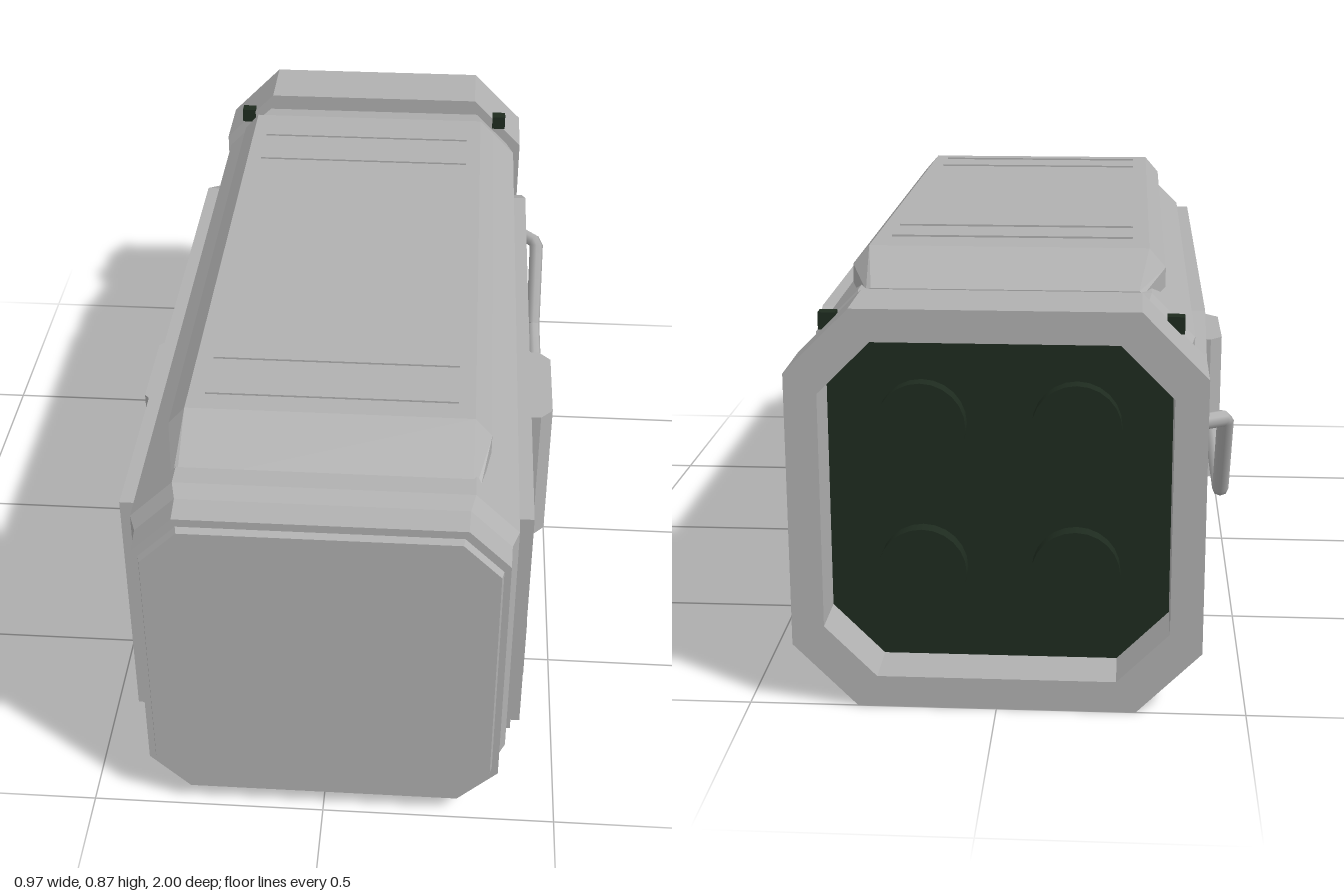
import * as THREE from 'three';

const grey = new THREE.MeshStandardMaterial({ color: 0xb0b0b0 });
grey.name = 'hull grey';
const dark = new THREE.MeshStandardMaterial({ color: 0x1e2b1f });
dark.name = 'dark green';

function add(parent, name, geometry, material = grey) {
  const mesh = new THREE.Mesh(geometry, material);
  mesh.name = name;
  parent.add(mesh);
  return mesh;
}

function box(parent, name, size, pos, material = grey) {
  const mesh = add(parent, name, new THREE.BoxGeometry(...size), material);
  mesh.position.set(...pos);
  return mesh;
}

// Octagon with cut corners, counter-clockwise seen from the front
function octagon(w, y0, y1, c) {
  return [[w, y0 + c], [w, y1 - c], [w - c, y1], [c - w, y1],
    [-w, y1 - c], [-w, y0 + c], [c - w, y0], [w - c, y0]];
}

// Faceted solid through convex sections ordered back to front; points are [x, y, optional z]
function loft(sections) {
  const v = [];
  const n = sections[0].pts.length;
  const at = (s, j) => {
    const p = s.pts[j % n];
    return [p[0], p[1], p[2] ?? s.z];
  };
  for (let i = 0; i < sections.length - 1; i++) {
    const a = sections[i], b = sections[i + 1];
    for (let j = 0; j < n; j++) {
      v.push(...at(a, j), ...at(a, j + 1), ...at(b, j + 1));
      v.push(...at(a, j), ...at(b, j + 1), ...at(b, j));
    }
  }
  const first = sections[0], last = sections[sections.length - 1];
  for (let j = 1; j < n - 1; j++) {
    v.push(...at(first, 0), ...at(first, j + 1), ...at(first, j));
    v.push(...at(last, 0), ...at(last, j), ...at(last, j + 1));
  }
  const g = new THREE.BufferGeometry();
  g.setAttribute('position', new THREE.Float32BufferAttribute(v, 3));
  g.computeVertexNormals();
  return g;
}

const shape = (pts) => new THREE.Shape(pts.map(([x, y]) => new THREE.Vector2(x, y)));

function prism(outline, depth) {
  return new THREE.ExtrudeGeometry(outline, { depth, bevelEnabled: false });
}

// Hood section: flat top, sloping shoulders, upright sides
function hoodSection(z, wTop, top, w, shoulder, bottom) {
  return { z, pts: [[w, bottom], [w, shoulder], [wTop, top], [-wTop, top], [-w, shoulder], [-w, bottom]] };
}

function buildSide(s) {
  const side = new THREE.Group();
  side.name = s > 0 ? 'leftSide' : 'rightSide';

  // Raised panel with one cut corner, drawn as (-z, y)
  const panel = prism(shape([[-0.845, 0.145], [0.69, 0.145], [0.69, 0.61], [0.49, 0.71], [-0.845, 0.71]]), 0.04);
  panel.rotateY(Math.PI / 2);
  panel.translate(s * 0.4 - 0.02, 0, 0);
  add(side, 'sidePanel', panel);

  // Upright box with bevelled outer edges, drawn as (x, -z)
  const housing = prism(shape([[0.4, -0.245], [0.457, -0.245], [0.485, -0.215],
    [0.485, 0], [0.457, 0.03], [0.4, 0.03]].map(([x, y]) => [s * x, y])), 0.355);
  housing.rotateX(-Math.PI / 2);
  housing.translate(0, 0.175, 0);
  add(side, 'handleHousing', housing);

  // Bent handle
  const path = new THREE.CurvePath();
  const pts = [[0.464, 0.305, 0], [0.464, 0.305, -0.5], [0.464, 0.505, -0.615], [0.41, 0.51, -0.665]]
    .map(([x, y, z]) => new THREE.Vector3(s * x, y, z));
  for (let i = 0; i < 3; i++) path.add(new THREE.LineCurve3(pts[i], pts[i + 1]));
  add(side, 'handle', new THREE.TubeGeometry(path, 60, 0.018, 8));

  // Vent with upright slats
  box(side, 'ventBack', [0.008, 0.17, 0.375], [s * 0.42, 0.26, 0.567], dark);
  for (let i = 0; i < 6; i++) {
    box(side, 'ventSlat', [0.012, 0.148, 0.021], [s * 0.422, 0.258, 0.726 - i * 0.063]);
  }

  // Pegs along the lower edge
  for (let i = 0; i < 5; i++) {
    const peg = prism(shape([[0.34, 0.08], [0.403, 0.08], [0.403, 0.12], [0.388, 0.132], [0.34, 0.132]]
      .map(([x, y]) => [s * x, y])), 0.045);
    peg.translate(0, 0, 0.762 - i * 0.288);
    add(side, 'peg', peg);
  }

  // Clips at the collar corners
  for (const y of [0.0675, 0.7625]) {
    box(side, 'collarClip', [0.035, 0.035, 0.03], [s * 0.348, y, -0.836], dark);
  }
  return side;
}

export function createModel() {
  const model = new THREE.Group();
  model.name = 'containerModule';

  // Main hull, tapered at both ends
  add(model, 'hull', loft([
    { z: -0.84, pts: octagon(0.37, 0.045, 0.78, 0.085) },
    { z: -0.74, pts: octagon(0.39, 0.025, 0.803, 0.09) },
    { z: 0.89, pts: octagon(0.39, 0.025, 0.803, 0.09) },
    { z: 0.925, pts: octagon(0.376, 0.038, 0.79, 0.085) },
    { z: 0.984, pts: octagon(0.374, 0.04, 0.786, 0.085) },
  ]));
  add(model, 'frontCap', loft([
    { z: 0.97, pts: octagon(0.364, 0.058, 0.772, 0.08) },
    { z: 1, pts: octagon(0.356, 0.066, 0.764, 0.077) },
  ]));

  // Hood on the roof with thin cross ribs
  add(model, 'hood', loft([
    hoodSection(-0.735, 0.275, 0.805, 0.285, 0.8, 0.77),
    hoodSection(-0.61, 0.295, 0.87, 0.33, 0.83, 0.788),
    hoodSection(0.73, 0.295, 0.87, 0.33, 0.83, 0.788),
    hoodSection(0.87, 0.295, 0.785, 0.305, 0.782, 0.775),
  ]));
  for (const z of [0.67, 0.54, -0.37, -0.5]) {
    box(model, 'hoodRib', [0.52, 0.01, 0.018], [0, 0.869, z]);
  }

  // Hollow collar at the back
  const ring = shape(octagon(0.41, 0, 0.823, 0.13));
  ring.holes.push(shape(octagon(0.345, 0.065, 0.758, 0.105).reverse()));
  const collar = prism(ring, 0.172);
  collar.translate(0, 0, -1);
  add(model, 'rearCollar', collar);

  // Dark recessed plate with four round nozzles
  const plate = prism(shape(octagon(0.35, 0.06, 0.763, 0.105)), 0.04);
  plate.translate(0, 0, -0.885);
  add(model, 'rearPlate', plate, dark);
  for (const x of [-0.155, 0.155]) {
    for (const y of [0.26, 0.565]) {
      const nozzle = add(model, 'nozzle', new THREE.CylinderGeometry(0.09, 0.09, 0.05, 24), dark);
      nozzle.rotation.x = Math.PI / 2;
      nozzle.position.set(x, y, -0.895);
    }
  }

  model.add(buildSide(1), buildSide(-1));
  return model;
}
